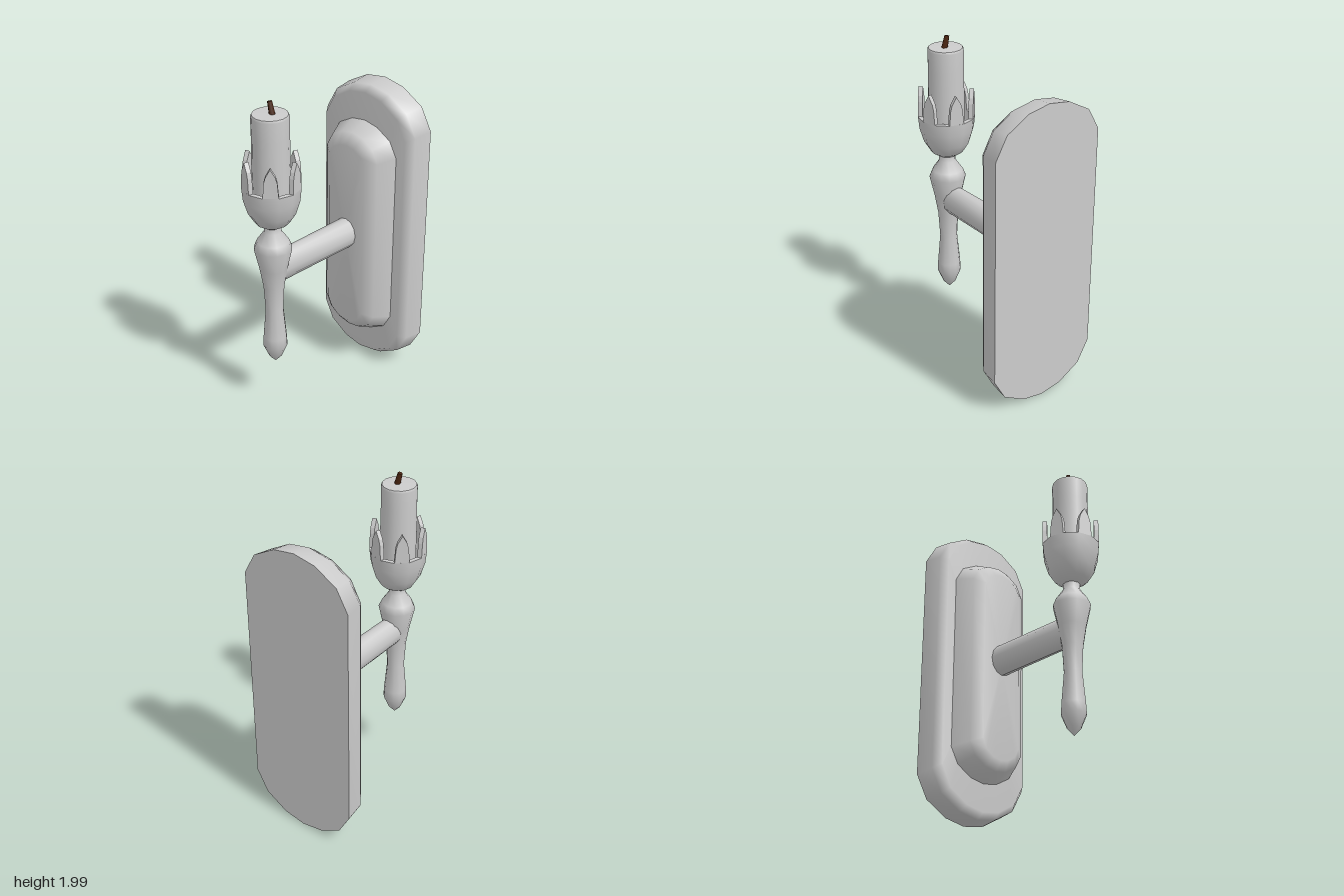
import * as THREE from 'three';

const grey = new THREE.MeshStandardMaterial({ color: 0xcccccc, side: THREE.DoubleSide });
const brown = new THREE.MeshStandardMaterial({ color: 0x4a2410 });
const AXIS_Z = 0.375; // where the upright stem stands

function add(parent, name, geometry, material = grey) {
  const mesh = new THREE.Mesh(geometry, material);
  mesh.name = name;
  parent.add(mesh);
  return mesh;
}

// Tall outline with straight sides and faceted round ends
function outline({ w, bottom, low, high, top }) {
  const arc = [[1, 0], [0.79, 0.56], [0.39, 0.9], [0, 1]];
  const right = arc.map(([x, y]) => [w * x, high + (top - high) * y]);
  const left = arc.slice(0, 3).reverse().map(([x, y]) => [-w * x, high + (top - high) * y]);
  const under = arc.map(([x, y]) => [-w * x, low - (low - bottom) * y]);
  const back = arc.slice(0, 3).reverse().map(([x, y]) => [w * x, low - (low - bottom) * y]);
  return [...right, ...left, ...under, ...back];
}

// Skin a stack of outlines from back to front, smooth at the front, sharp at the back
function plaque(layers) {
  const pos = [], index = [];
  const rings = layers.map(outline);
  const n = rings[0].length;
  rings.forEach((ring, k) => ring.forEach(([x, y]) => pos.push(x, y, layers[k].z)));
  for (let k = 0; k < rings.length - 1; k++) {
    for (let i = 0; i < n; i++) {
      const a = k * n + i, b = k * n + (i + 1) % n;
      index.push(a, b, b + n, a, b + n, a + n);
    }
  }
  const cap = (k, flip) => {
    const start = pos.length / 3;
    rings[k].forEach(([x, y]) => pos.push(x, y, layers[k].z));
    for (let i = 1; i < n - 1; i++) {
      index.push(start, start + (flip ? i + 1 : i), start + (flip ? i : i + 1));
    }
  };
  cap(0, true);
  // front face shares the last ring so its edge shades softly
  const last = (rings.length - 1) * n;
  const centre = pos.length / 3;
  const { low, high, z } = layers[layers.length - 1];
  pos.push(0, (low + high) / 2, z);
  for (let i = 0; i < n; i++) index.push(last + i, last + (i + 1) % n, centre);

  const g = new THREE.BufferGeometry();
  g.setAttribute('position', new THREE.Float32BufferAttribute(pos, 3));
  g.setIndex(index);
  g.computeVertexNormals();
  return g;
}

function lathe(points, sides = 12) {
  return new THREE.LatheGeometry(points.map(([r, y]) => new THREE.Vector2(r, y)), sides);
}

export function createModel() {
  const group = new THREE.Group();
  group.name = 'wallSconce';

  // Wall plate and the raised boss on it
  add(group, 'wallPlate', plaque([
    { z: -0.54, w: 0.358, bottom: 0.01, low: 0.25, high: 1.64, top: 1.875 },
    { z: -0.42, w: 0.345, bottom: 0.025, low: 0.26, high: 1.63, top: 1.86 },
    { z: -0.37, w: 0.31, bottom: 0.06, low: 0.28, high: 1.61, top: 1.825 },
  ]));
  add(group, 'plateBoss', plaque([
    { z: -0.37, w: 0.25, bottom: 0.23, low: 0.4, high: 1.49, top: 1.655 },
    { z: -0.265, w: 0.2, bottom: 0.28, low: 0.42, high: 1.47, top: 1.61 },
    { z: -0.22, w: 0.138, bottom: 0.335, low: 0.44, high: 1.45, top: 1.54 },
  ]));

  // Arm, oval in section and slightly narrower at the stem
  const arm = add(group, 'arm', new THREE.CylinderGeometry(0.065, 0.08, 0.6, 12));
  arm.geometry.rotateX(Math.PI / 2);
  const p = arm.geometry.attributes.position;
  for (let i = 0; i < p.count; i++) {
    const r = p.getZ(i) > 0 ? 0.065 : 0.08;
    p.setY(i, p.getY(i) * 0.095 / r);
  }
  arm.geometry.computeVertexNormals();
  arm.position.set(0, 0.965, 0.07);

  // Everything turned about the upright axis
  const holder = new THREE.Group();
  holder.name = 'candleHolder';
  holder.position.z = AXIS_Z;
  group.add(holder);

  add(holder, 'stem', lathe([
    [0, 0.325], [0.04, 0.37], [0.073, 0.45], [0.07, 0.51], [0.053, 0.7],
    [0.062, 0.86], [0.082, 0.98], [0.111, 1.11], [0.092, 1.155], [0.05, 1.215], [0.05, 1.26],
  ]));
  add(holder, 'cup', lathe([
    [0.05, 1.25], [0.098, 1.28], [0.138, 1.345], [0.163, 1.43], [0.17, 1.505],
  ]));
  add(holder, 'cupRim', lathe([[0.17, 1.505], [0.142, 1.505]]));
  add(holder, 'cupInside', lathe([[0.142, 1.505], [0.13, 1.43], [0.1, 1.37], [0, 1.35]]));

  // Six pointed petals, one on every second side of the cup
  const petal = new THREE.Shape([
    [-0.044, 0], [0.044, 0], [0.037, 0.09], [0.028, 0.125], [0, 0.175], [-0.028, 0.125], [-0.037, 0.09],
  ].map(([x, y]) => new THREE.Vector2(x, y)));
  const petalGeometry = new THREE.ExtrudeGeometry(petal, { depth: 0.027, bevelEnabled: false });
  for (let i = 0; i < 6; i++) {
    const pivot = new THREE.Group();
    pivot.name = 'petal' + (i + 1);
    pivot.rotation.y = -Math.PI / 12 + i * Math.PI / 3;
    holder.add(pivot);
    add(pivot, 'petalBlade', petalGeometry).position.set(0, 1.504, 0.137);
  }

  // Candle with a softened top edge, and its leaning wick
  add(holder, 'candle', lathe([
    [0.108, 1.36], [0.108, 1.6], [0.105, 1.8], [0.106, 1.915], [0.1, 1.928],
  ], 16));
  add(holder, 'candleTop', lathe([[0.1, 1.928], [0, 1.93]], 16));
  const wick = add(holder, 'wick', new THREE.CylinderGeometry(0.014, 0.019, 0.085, 6), brown);
  wick.position.set(0.003, 1.956, -0.006);
  wick.rotation.z = 0.25;

  return group;
}
